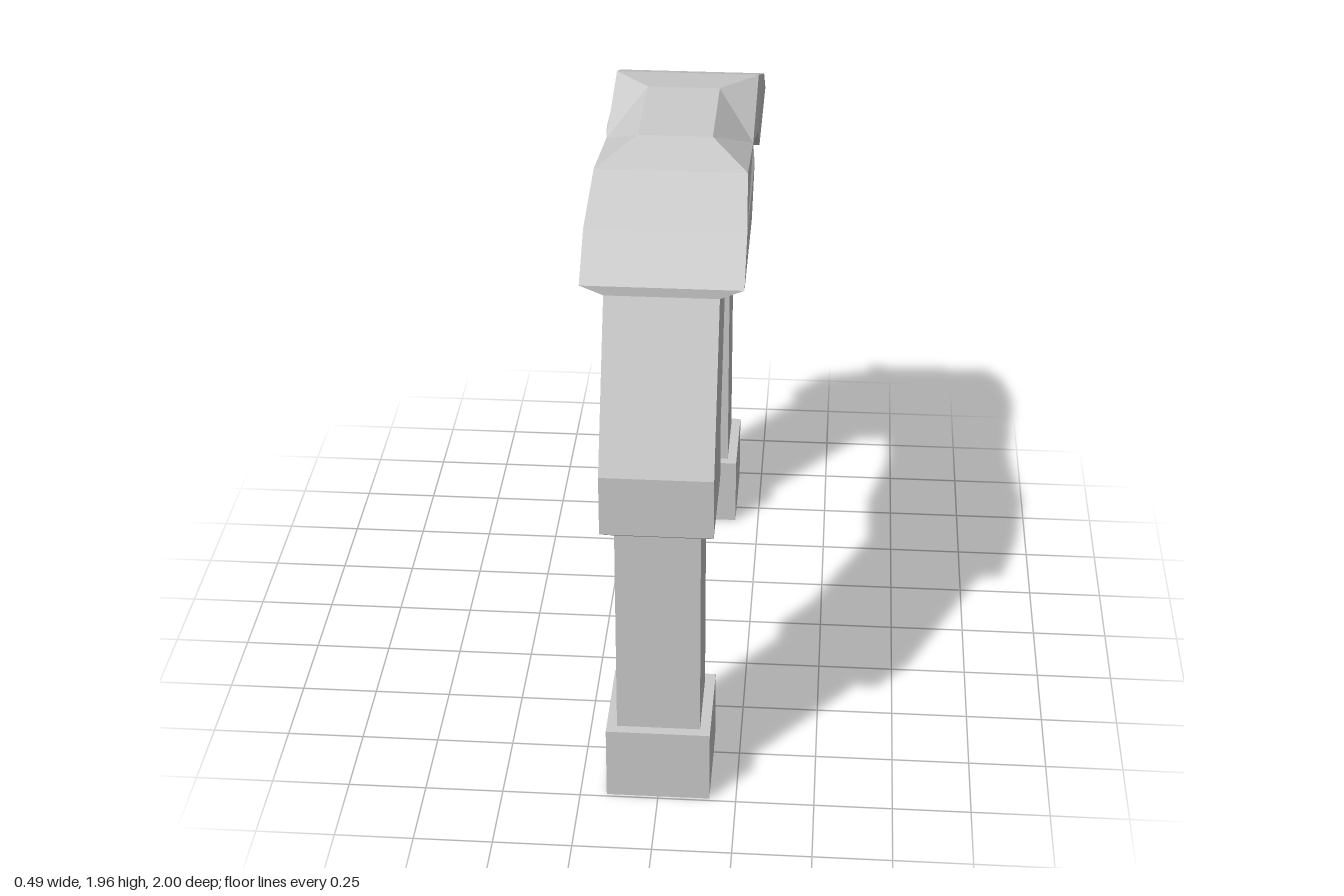
import * as THREE from 'three';

const material = new THREE.MeshStandardMaterial({ color: 0xcccccc, flatShading: true });

// Skins a row of four-cornered sections.
// Section: [outer half width, outer z, outer y, inner half width, inner z, inner y]
function loft(name, sections) {
  const rings = sections.map(([ow, oz, oy, iw, iz, iy]) => [
    new THREE.Vector3(ow, oy, oz), new THREE.Vector3(-ow, oy, oz),
    new THREE.Vector3(-iw, iy, iz), new THREE.Vector3(iw, iy, iz),
  ]);
  const points = [];
  const addTriangle = (a, b, c) => {
    if (new THREE.Triangle(a, b, c).getArea() > 1e-6) points.push(a, b, c);
  };
  for (let r = 0; r < rings.length - 1; r++) {
    for (let k = 0; k < 4; k++) {
      const n = (k + 1) % 4;
      const a = rings[r][k], b = rings[r][n], a2 = rings[r + 1][k], b2 = rings[r + 1][n];
      addTriangle(b, a, a2);
      addTriangle(b, a2, b2);
    }
  }
  const geometry = new THREE.BufferGeometry().setFromPoints(points);
  geometry.computeVertexNormals();
  const mesh = new THREE.Mesh(geometry, material);
  mesh.name = name;
  return mesh;
}

// Level section with equal widths
const level = (w, outer, inner, y) => [w, outer, y, w, inner, y];

function createHalf(name) {
  const half = new THREE.Group();
  half.name = name;

  // Square plinth
  const plinth = new THREE.Mesh(new THREE.BoxGeometry(0.33, 0.25, 0.33), material);
  plinth.name = 'plinth';
  plinth.position.set(0, 0.125, 0.825);
  half.add(plinth);

  // Plain pillar
  half.add(loft('pillar', [
    level(0.132, 0.957, 0.693, 0.25),
    level(0.132, 0.957, 0.693, 0.97),
  ]));

  // Flared block that leans inward
  half.add(loft('leaningBlock', [
    level(0.132, 0.957, 0.693, 0.97),
    level(0.173, 1, 0.65, 1),
    level(0.173, 1, 0.65, 1.2),
    level(0.173, 0.766, 0.416, 1.69),
  ]));

  // Wide arch crown, pinched and chamfered at the middle
  half.add(loft('crown', [
    level(0.173, 0.766, 0.416, 1.69),
    level(0.245, 0.766, 0.28, 1.72),
    [0.245, 0.615, 1.836, 0.245, 0.125, 1.84],
    [0.235, 0.386, 1.925, 0.235, 0, 1.853],
    [0.117, 0.192, 1.955, 0.235, 0, 1.853],
    [0.117, 0, 1.955, 0.235, 0, 1.853],
  ]));
  return half;
}

export function createModel() {
  const model = new THREE.Group();
  model.name = 'archway';
  const front = createHalf('frontHalf');
  const back = createHalf('backHalf');
  back.rotation.y = Math.PI;
  model.add(front, back);
  return model;
}
